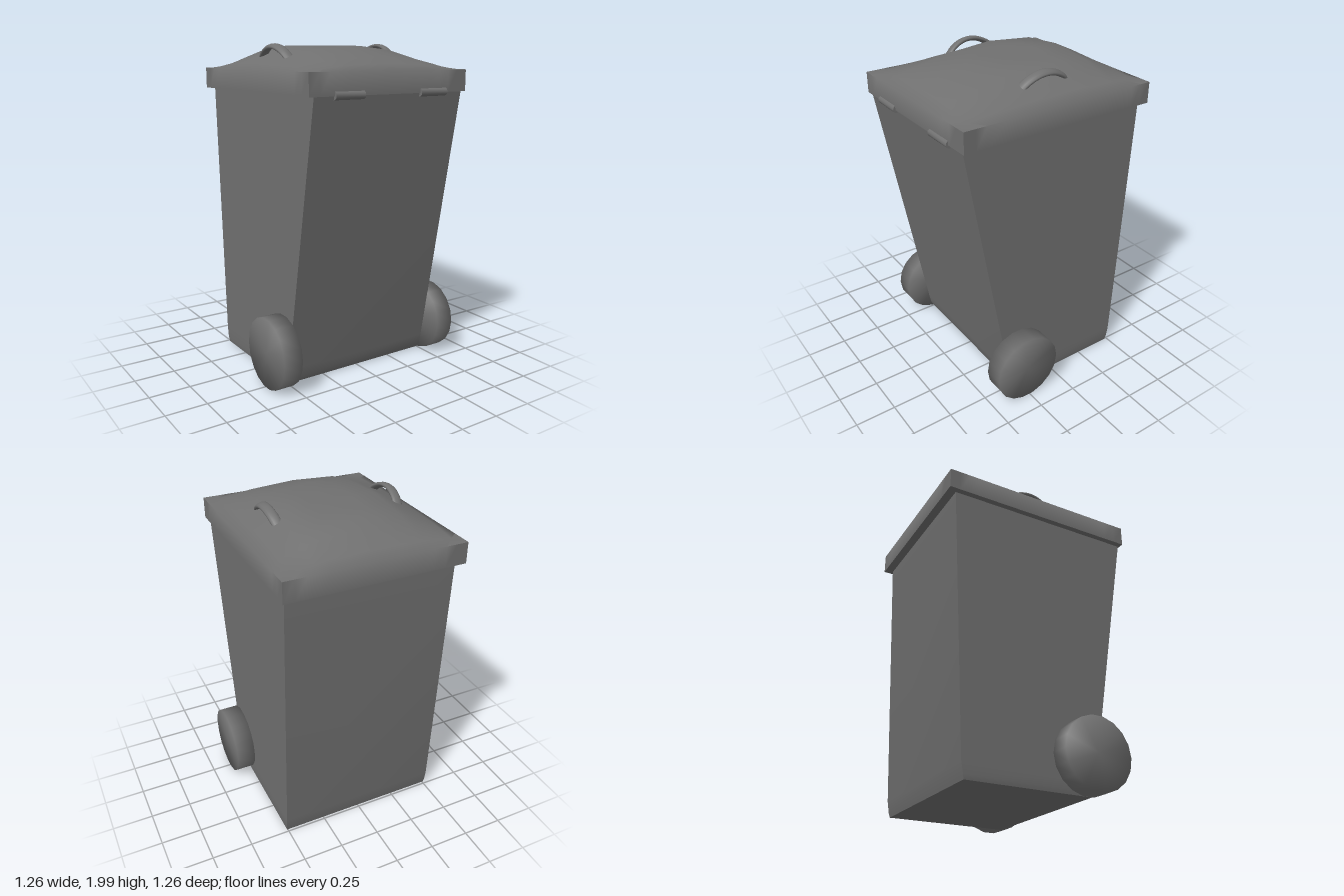
import * as THREE from 'three';
import { mergeVertices, toCreasedNormals } from 'three/addons/utils/BufferGeometryUtils.js';

// Dark grey plastic
const material = new THREE.MeshStandardMaterial({ color: 0x707070 });

function add(parent, name, geometry) {
  const mesh = new THREE.Mesh(geometry, material);
  mesh.name = name;
  parent.add(mesh);
  return mesh;
}

// Move every vertex of a geometry by a rule
function reshape(geometry, rule) {
  const p = geometry.attributes.position;
  const v = new THREE.Vector3();
  for (let i = 0; i < p.count; i++) {
    rule(v.fromBufferAttribute(p, i));
    p.setXYZ(i, v.x, v.y, v.z);
  }
  return geometry;
}

// Share normals over all edges for a soft look
function soften(geometry) {
  geometry.deleteAttribute('normal');
  geometry.deleteAttribute('uv');
  const merged = mergeVertices(geometry);
  merged.computeVertexNormals();
  return merged;
}

// Tapered bin body: rows of [y, front z, back z, half width] from the bottom up
function bodyGeometry() {
  const rows = [
    [0.004, 0.29, -0.484, 0.505],
    [0.03, 0.305, -0.49, 0.51],
    [0.1, 0.32, -0.502, 0.51],
    [1.74, 0.615, -0.58, 0.51],
  ];
  const geometry = reshape(new THREE.BoxGeometry(2, 3, 2, 1, 3, 1), (v) => {
    const [y, front, back, half] = rows[Math.round(v.y + 1.5)];
    v.set(v.x * half, y, v.z > 0 ? front : back);
  });
  return toCreasedNormals(geometry, 0.8);
}

// Read a table at a fractional index
function sample(table, t) {
  const i = Math.min(Math.floor(t), table.length - 2);
  return THREE.MathUtils.lerp(table[i], table[i + 1], t - i);
}

// Lid: straight rim with a shallow dome that falls off towards the corners
function lidGeometry() {
  const xs = [-0.545, -0.41, -0.27, -0.005, 0.27, 0.4, 0.537];
  const zs = [-0.63, -0.5, -0.37, -0.07, 0.235, 0.48, 0.62];
  const rise = [0, 0.54, 1, 1, 1, 0.54, 0];
  const geometry = reshape(new THREE.BoxGeometry(6, 2, 6, 12, 1, 12), (v) => {
    const i = v.x + 3;
    const j = v.z + 3;
    const corner = Math.min(1, Math.abs(v.x)) * Math.min(1, Math.abs(v.z));
    const dome = sample(rise, i) * sample(rise, j) * (1 - 0.2 * corner);
    v.set(sample(xs, i), v.y > 0 ? 1.843 + 0.137 * dome : 1.717, sample(zs, j));
  });
  return toCreasedNormals(geometry, 1.35);
}

// Arched grip, flattened so it is wider than it is thick
function handleGeometry() {
  const path = new THREE.CatmullRomCurve3([
    new THREE.Vector3(0, -0.015, 0.155),
    new THREE.Vector3(0, 0.02, 0.115),
    new THREE.Vector3(0, 0.048, 0.055),
    new THREE.Vector3(0, 0.056, 0),
    new THREE.Vector3(0, 0.048, -0.055),
    new THREE.Vector3(0, 0.02, -0.115),
    new THREE.Vector3(0, -0.015, -0.155),
  ]);
  return new THREE.TubeGeometry(path, 20, 0.015, 12).scale(2.1, 1, 1);
}

export function createModel() {
  const bin = new THREE.Group();
  bin.name = 'wheeledBin';

  add(bin, 'body', bodyGeometry());
  add(bin, 'lid', lidGeometry());

  for (const side of [-1, 1]) {
    const label = side > 0 ? 'left' : 'right';

    // Wheel beside the lower front edge
    const wheel = add(bin, label + 'Wheel',
      soften(new THREE.CylinderGeometry(0.217, 0.217, 0.12, 18).rotateZ(Math.PI / 2)));
    wheel.position.set(side * 0.569, 0.218, 0.265);

    // Hinge barrel under the lid rim
    const hinge = add(bin, label + 'Hinge',
      toCreasedNormals(new THREE.CylinderGeometry(0.024, 0.024, 0.19, 12).rotateZ(Math.PI / 2), 0.8));
    hinge.position.set(side * 0.29, 1.72, 0.61);

    // Handle leaning outward on the slope of the lid
    const handle = add(bin, label + 'Handle', handleGeometry());
    handle.position.set(side * 0.37 - 0.014, 1.921, -0.005);
    handle.rotation.z = -side * 0.25;
  }
  return bin;
}
